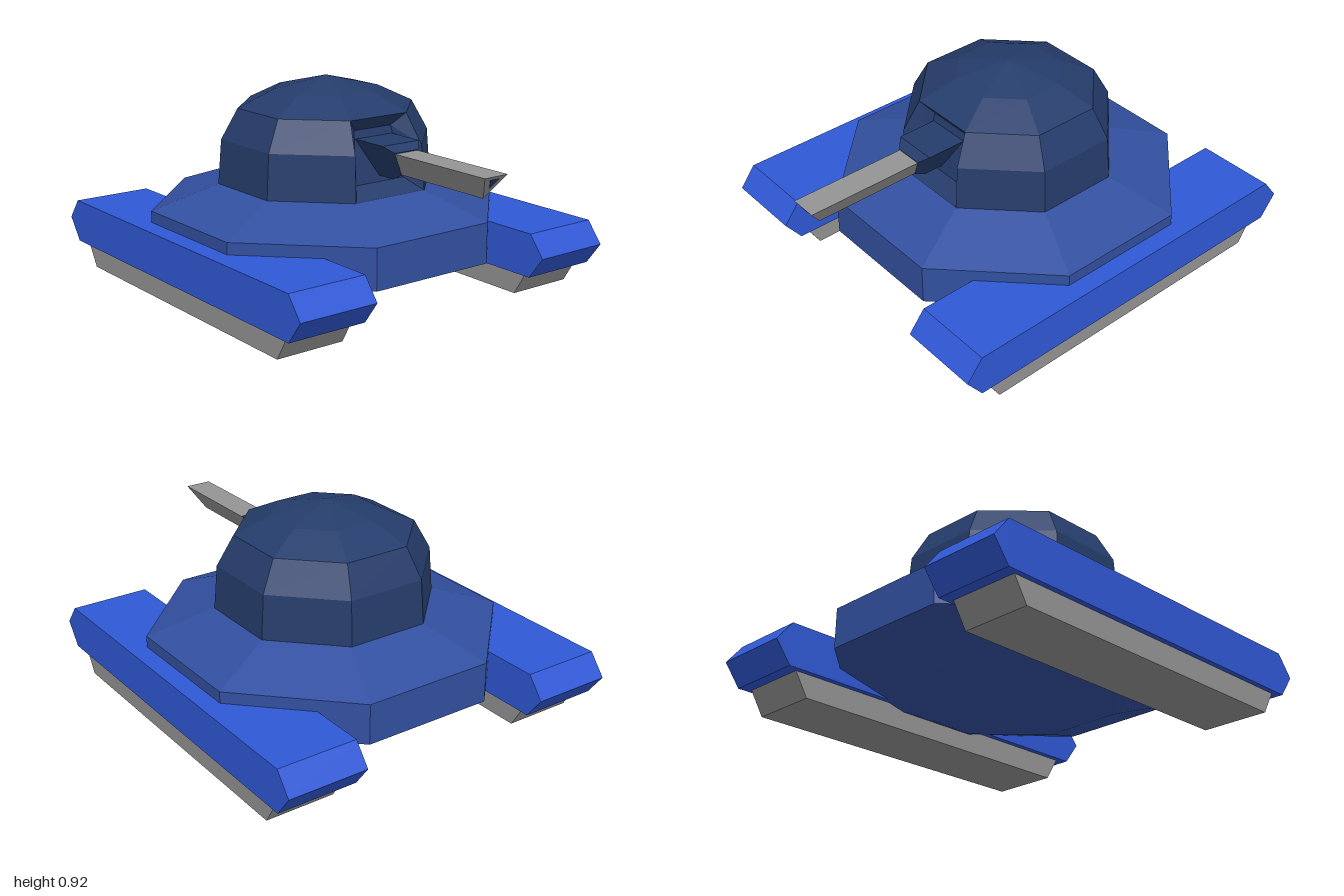
import * as THREE from 'three';

const paint = (name, color) => Object.assign(new THREE.MeshStandardMaterial({ color, flatShading: true }), { name });

// Skins a stack of rings with flat facets; skip(level, side) leaves a facet open.
function loft(rings, { start = true, end = true, skip = () => false } = {}) {
  const pos = [];
  const tri = (a, b, c) => pos.push(...a, ...b, ...c);
  const n = rings[0].length;
  for (let j = 0; j < rings.length - 1; j++) {
    for (let i = 0; i < n; i++) {
      if (skip(j, i)) continue;
      const k = (i + 1) % n, a = rings[j], b = rings[j + 1];
      tri(a[i], a[k], b[k]);
      tri(a[i], b[k], b[i]);
    }
  }
  const first = rings[0], last = rings[rings.length - 1];
  for (let i = 1; i < n - 1; i++) {
    if (start) tri(first[0], first[i + 1], first[i]);
    if (end) tri(last[0], last[i], last[i + 1]);
  }
  const g = new THREE.BufferGeometry();
  g.setAttribute('position', new THREE.Float32BufferAttribute(pos, 3));
  g.computeVertexNormals();
  return g;
}

const CZ = -0.083; // centre of hull and dome
const TAN = Math.tan(Math.PI / 8);

// Octagon given by the distance to its flat sides; side 0 faces the front.
function octagon(apothem, y) {
  const r = apothem / Math.cos(Math.PI / 8);
  return Array.from({ length: 8 }, (_, k) => {
    const a = (k - 0.5) * Math.PI / 4;
    return [r * Math.sin(a), y, CZ + r * Math.cos(a)];
  });
}

// Downward-pointing triangle, with separate depths for top and bottom.
const triangle = (w, top, bottom, zTop, zBottom) => [[-w, top, zTop], [0, bottom, zBottom], [w, top, zTop]];

// Side profile of [z, y] points, extruded from x0 to x1.
function sidePrism(points, x0, x1) {
  const shape = new THREE.Shape(points.map(p => new THREE.Vector2(...p)));
  const g = new THREE.ExtrudeGeometry(shape, { depth: x1 - x0, bevelEnabled: false });
  return g.rotateY(-Math.PI / 2).translate(x1, 0, 0);
}

export function createModel() {
  const model = new THREE.Group();
  model.name = 'tank';
  const brightBlue = paint('brightBlue', 0x3058d6);
  const hullBlue = paint('hullBlue', 0x3250a0);
  const navy = paint('navy', 0x253c6b);
  const grey = paint('grey', 0x949494);
  const add = (name, geometry, material) => {
    const mesh = new THREE.Mesh(geometry, material);
    mesh.name = name;
    model.add(mesh);
  };

  // Octagonal hull with sloped deck and belly
  add('hull', loft([[0.45, 0.075], [0.733, 0.17], [0.733, 0.352], [0.455, 0.456]].map(p => octagon(...p))), hullBlue);

  // Faceted dome, open at the front for the gun recess
  const wall = [[0.455, 0.455], [0.44, 0.655], [0.37, 0.79]];
  const domeRings = [...wall, [0.222, 0.866], [0.0005, 0.922]].map(p => octagon(...p));
  add('dome', loft(domeRings, { start: false, skip: (level, side) => side === 0 && level < 2 }), navy);

  // Recess sunk into the front facet
  const edge = s => wall.map(([a, y]) => [s * a * TAN, y, CZ + a]);
  const inner = s => [[s * 0.13, 0.51, 0.3], [s * 0.117, 0.63, 0.27], [s * 0.1, 0.735, 0.245]];
  const around = side => [...side(1), ...side(-1).reverse()];
  add('gunRecess', loft([around(edge), around(inner)], { start: false }), navy);

  // Triangular gun mount, barrel and bore
  add('gunMount', loft([
    triangle(0.1, 0.7, 0.535, 0.22, 0.22),
    triangle(0.1, 0.7, 0.535, 0.435, 0.385),
    triangle(0.064, 0.672, 0.562, 0.47, 0.44),
  ]), navy);
  add('barrel', loft([
    triangle(0.061, 0.668, 0.565, 0.4, 0.4),
    triangle(0.061, 0.668, 0.565, 1, 0.93),
  ]), grey);
  const muzzleZ = y => 0.932 + (y - 0.565) * 0.68;
  add('bore', loft([0, 0.002].map(d =>
    triangle(0.024, 0.655, 0.612, muzzleZ(0.655) - 0.002 + d, muzzleZ(0.612) - 0.002 + d))), navy);

  // Track guards and treads on both sides
  const guard = [[0.835, 0.205], [0.76, 0.3], [-0.925, 0.3], [-1, 0.205], [-0.925, 0.105], [0.76, 0.105]];
  const tread = [[0.65, 0], [0.715, 0.107], [-0.875, 0.107], [-0.81, 0]];
  for (const [side, s] of [['left', 1], ['right', -1]]) {
    const span = (a, b) => (s > 0 ? [a, b] : [-b, -a]);
    add(side + 'TrackGuard', sidePrism(guard, ...span(0.452, 0.817)), brightBlue);
    add(side + 'Tread', sidePrism(tread, ...span(0.478, 0.793)), grey);
  }
  return model;
}
